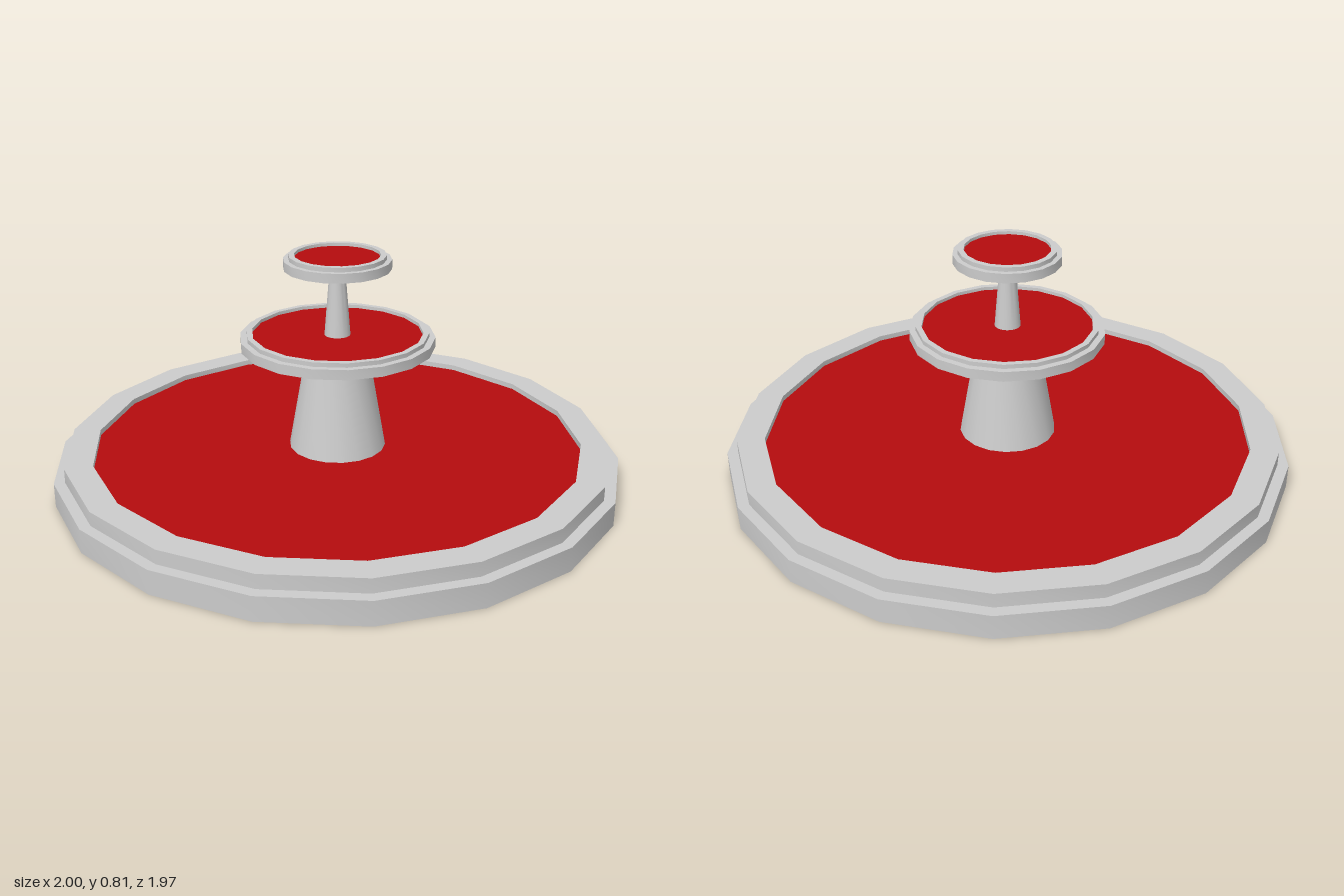
import * as THREE from 'three';
import { toCreasedNormals } from 'three/addons/utils/BufferGeometryUtils.js';

const SIDES = 18;
const stone = new THREE.MeshStandardMaterial({ color: 0xcccccc });
const red = new THREE.MeshStandardMaterial({ color: 0xb40c0e });

// Turned stone part from [radius, height] points, listed bottom to top
function turned(name, profile) {
  const points = profile.map(([r, y]) => new THREE.Vector2(r, y));
  // start at +x so that a corner lies on the x axis
  const geometry = new THREE.LatheGeometry(points, SIDES, Math.PI / 2);
  const mesh = new THREE.Mesh(toCreasedNormals(geometry, Math.PI / 6), stone);
  mesh.name = name;
  return mesh;
}

// Flat liquid surface filling a bowl
function surface(name, radius, y) {
  const geometry = new THREE.CircleGeometry(radius, SIDES).rotateX(-Math.PI / 2);
  const mesh = new THREE.Mesh(geometry, red);
  mesh.name = name;
  mesh.position.y = y;
  return mesh;
}

// One tier: stepped bowl with its liquid
function tier(name, { foot, bottom, outer, low, step, stepY, top, inner, fill }) {
  const group = new THREE.Group();
  group.name = name;
  group.add(
    turned(name + 'Bowl', [
      [0, bottom], [foot, bottom], [outer, low], [outer, stepY],
      [step, stepY], [step, top], [inner, top], [inner, fill],
    ].filter(([r, y], i, all) => i === 0 || r !== all[i - 1][0] || y !== all[i - 1][1])),
    surface(name + 'Liquid', inner, fill),
  );
  return group;
}

export function createModel() {
  const model = new THREE.Group();
  model.name = 'fountain';
  model.add(
    // wide ground basin
    tier('basin', { foot: 1, bottom: 0, outer: 1, low: 0, step: 0.962, stepY: 0.085, top: 0.135, inner: 0.865, fill: 0.115 }),
    // tapered pillar and middle bowl
    turned('pillar', [[0.172, 0.11], [0.115, 0.435]]),
    tier('middle', { foot: 0.115, bottom: 0.432, outer: 0.34, low: 0.49, step: 0.318, stepY: 0.525, top: 0.54, inner: 0.298, fill: 0.528 }),
    // slender stem and top bowl
    turned('stem', [[0.046, 0.52], [0.03, 0.725]]),
    tier('top', { foot: 0.03, bottom: 0.72, outer: 0.186, low: 0.767, step: 0.168, stepY: 0.8, top: 0.815, inner: 0.148, fill: 0.804 }),
  );
  return model;
}
